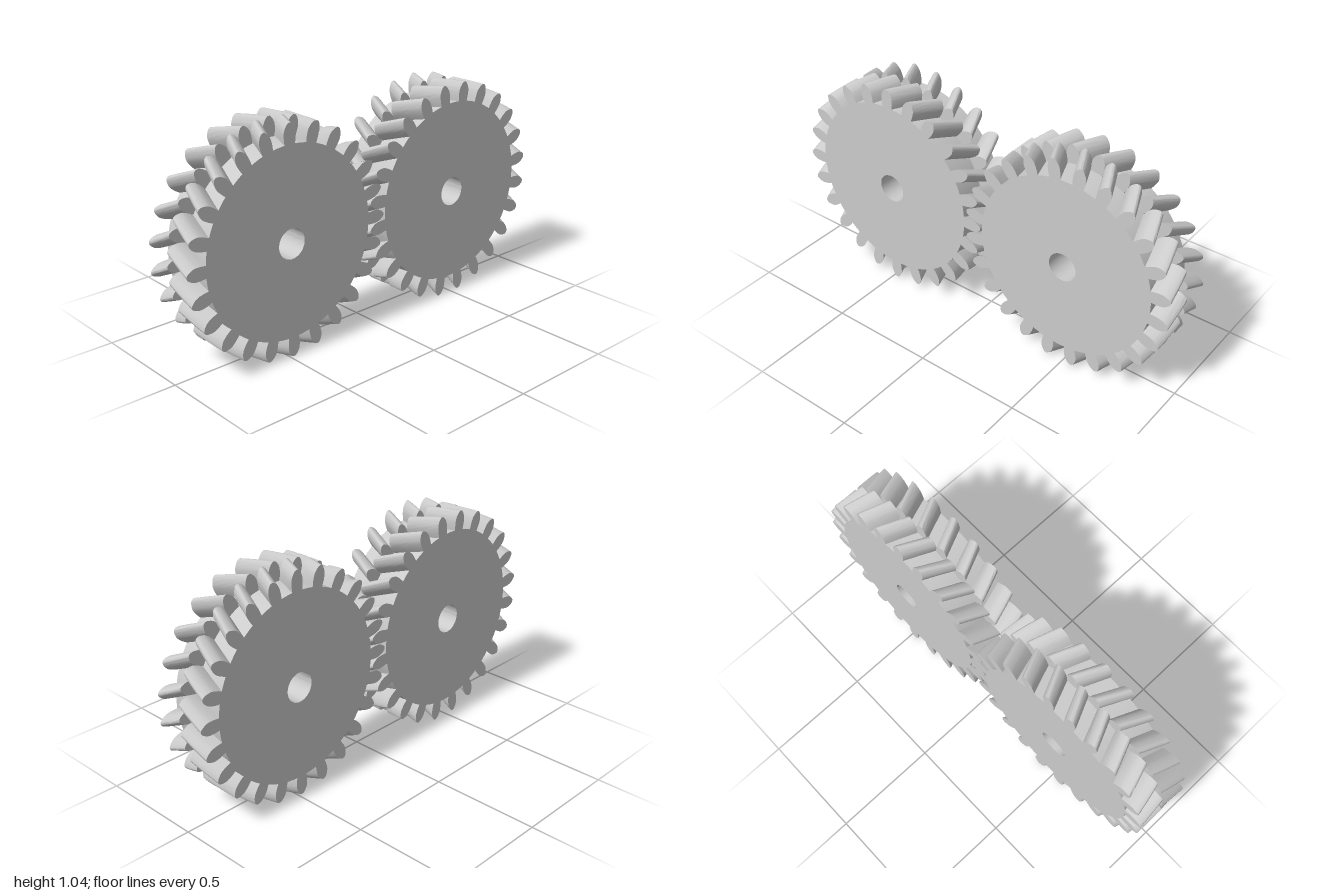
import * as THREE from 'three';
import { toCreasedNormals } from 'three/addons/utils/BufferGeometryUtils.js';

const TEETH = 24;
const PITCH = (Math.PI * 2) / TEETH;
const ROOT = 0.43, PITCH_R = 0.48, TIP = 0.52, BORE = 0.068;
const HALF = 0.133; // width of each helical half
const TWIST = PITCH / 2; // twist across one half

// Tooth flank from root to tip: x = radius, y = half width
const flank = new THREE.SplineCurve([
  [ROOT, 0.027], [0.455, 0.03], [PITCH_R, 0.0298], [0.495, 0.0255],
  [0.508, 0.018], [0.516, 0.011], [TIP, 0.005],
].map(([r, w]) => new THREE.Vector2(r, w))).getPoints(14);

// Gear outline with a round bore; phase is the angle of the first tooth
function gearShape(phase) {
  const pts = [];
  const add = (r, a) => pts.push(new THREE.Vector2(r * Math.cos(a), r * Math.sin(a)));
  const rootHalf = flank[0].y / ROOT;
  for (let i = 0; i < TEETH; i++) {
    const a = phase + i * PITCH;
    flank.forEach((p) => add(p.x, a - p.y / p.x));
    [...flank].reverse().forEach((p) => add(p.x, a + p.y / p.x));
    for (let k = 1; k < 4; k++) add(ROOT, a + rootHalf + (PITCH - 2 * rootHalf) * k / 4);
  }
  const shape = new THREE.Shape(pts);
  const bore = new THREE.Path();
  bore.absarc(0, 0, BORE, 0, Math.PI * 2, true);
  shape.holes.push(bore);
  return shape;
}

// One helical half, twisted about its axis; the two halves are staggered
function helicalHalf(phase, hand, front) {
  const geo = new THREE.ExtrudeGeometry(gearShape(phase), {
    depth: HALF, steps: 6, bevelEnabled: false, curveSegments: 48,
  });
  if (!front) geo.translate(0, 0, -HALF);
  const pos = geo.attributes.position;
  const v = new THREE.Vector3();
  const axis = new THREE.Vector3(0, 0, 1);
  for (let i = 0; i < pos.count; i++) {
    v.fromBufferAttribute(pos, i);
    const t = v.z / HALF;
    v.applyAxisAngle(axis, hand * TWIST * (front ? 1 - t : t));
    pos.setXYZ(i, v.x, v.y, v.z);
  }
  return toCreasedNormals(geo, 0.6);
}

export function createModel() {
  const model = new THREE.Group();
  model.name = 'herringboneGearPair';
  const material = new THREE.MeshStandardMaterial({ color: 0xcccccc });

  // Two meshing gears of opposite hand, the second offset by half a tooth
  for (const side of [-1, 1]) {
    const gear = new THREE.Group();
    gear.name = side < 0 ? 'rightGear' : 'leftGear';
    for (const front of [true, false]) {
      const mesh = new THREE.Mesh(helicalHalf(side < 0 ? 0 : PITCH / 2, side, front), material);
      mesh.name = front ? 'frontHelicalHalf' : 'backHelicalHalf';
      gear.add(mesh);
    }
    gear.position.set(side * PITCH_R, TIP, 0);
    model.add(gear);
  }
  return model;
}
